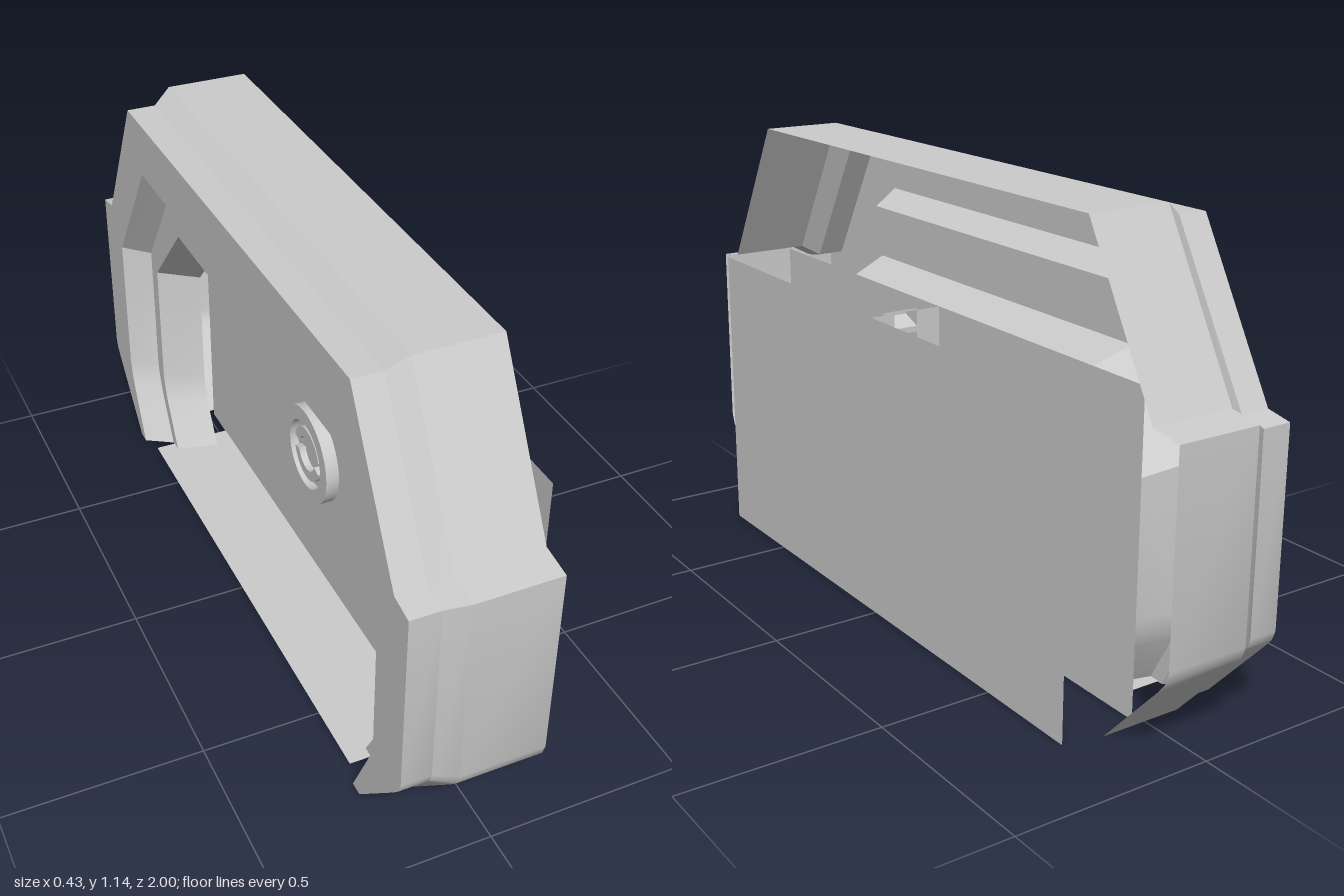
import * as THREE from 'three';
import { toCreasedNormals } from 'three/addons/utils/BufferGeometryUtils.js';

const material = new THREE.MeshStandardMaterial({ color: 0xcccccc, side: THREE.DoubleSide });

function add(parent, name, geometry) {
  const mesh = new THREE.Mesh(geometry, material);
  mesh.name = name;
  parent.add(mesh);
  return mesh;
}

// Sheet through a row of sections, each { x, path: [[z, y], ...] }
function loft(sections) {
  const positions = [], index = [];
  const n = sections[0].path.length;
  for (const { x, path } of sections) for (const [z, y] of path) positions.push(x, y, z);
  for (let s = 0; s < sections.length - 1; s++) {
    for (let i = 0; i < n - 1; i++) {
      const a = s * n + i, b = a + n;
      index.push(a, b, a + 1, a + 1, b, b + 1);
    }
  }
  const geometry = new THREE.BufferGeometry();
  geometry.setAttribute('position', new THREE.Float32BufferAttribute(positions, 3));
  geometry.setIndex(index);
  return toCreasedNormals(geometry, 0.5);
}

// Half outline mirrored into a full arch, open at the floor
const arch = (half) => [...half, ...half.map(([z, y]) => [-z, y]).reverse()];

const OUTER = arch([[0.8, 0], [0.965, 0.18], [0.99, 0.21], [1, 0.24], [1, 0.735], [0.92, 0.748], [0.7, 1.14]]);
const INSET = arch([[0.77, 0], [0.935, 0.18], [0.956, 0.205], [0.965, 0.23], [0.965, 0.708], [0.9, 0.72], [0.68, 1.105]]);
const OPENING = arch([[0.735, 0], [0.805, 0.15], [0.82, 0.185], [0.83, 0.23], [0.83, 0.62], [0.82, 0.634], [0.59, 0.96]]);
const STEP = arch([[0.69, 0], [0.765, 0.14], [0.78, 0.18], [0.79, 0.225], [0.79, 0.605], [0.78, 0.62], [0.57, 0.92]]);
const THROAT = arch([[0.65, 0], [0.72, 0.13], [0.735, 0.17], [0.745, 0.21], [0.745, 0.565], [0.735, 0.576], [0.54, 0.785]]);
const THROAT_END = arch([[0.62, 0], [0.69, 0.12], [0.705, 0.16], [0.71, 0.2], [0.71, 0.54], [0.7, 0.55], [0.52, 0.74]]);

const DOOR = { inner: 0.02, outer: 0.215, halfWidth: 0.78, height: 0.78, lockY: 0.39 };

// Seam line of a door leaf: straight with a half round, side = +1 bulge or -1 hollow
function seamPath(side, toothed) {
  const path = [];
  const teeth = (y0, count) => {
    for (let i = 0; i < count; i++) {
      const y = y0 + i * 0.06;
      path.push([0, y], [0.05, y + 0.02], [0.05, y + 0.03], [0, y + 0.045]);
    }
  };
  path.push([0, 0]);
  if (toothed) teeth(0.01, 3);
  const steps = 24;
  for (let i = 0; i <= steps; i++) {
    const a = (i / steps) * Math.PI;
    path.push([side * 0.15 * Math.sin(a), DOOR.lockY - 0.15 * Math.cos(a)]);
  }
  if (toothed) teeth(0.56, 4);
  path.push([0, DOOR.height]);
  return path;
}

// Flat ring sector, facing the passage (-x) once turned
function ringSector(r0, r1, start, end, depth) {
  const shape = new THREE.Shape();
  shape.absarc(0, 0, r1, start, end, false);
  shape.absarc(0, 0, r0, end, start, true);
  const geometry = new THREE.ExtrudeGeometry(shape, { depth, bevelEnabled: false, curveSegments: 24 });
  return toCreasedNormals(geometry.rotateY(-Math.PI / 2), 0.5);
}

function createFrame() {
  const frame = new THREE.Group();
  frame.name = 'doorFrame';
  add(frame, 'frameShell', loft([
    { x: 0.118, path: OUTER }, { x: -0.095, path: OUTER },
    { x: -0.143, path: INSET }, { x: -0.218, path: INSET },
    { x: -0.218, path: OPENING },
  ]));
  add(frame, 'openingReveal', loft([
    { x: -0.218, path: OPENING }, { x: -0.145, path: STEP },
    { x: -0.145, path: THROAT }, { x: -0.03, path: THROAT_END },
  ]));
  const floor = new THREE.PlaneGeometry(0.22, 1.36).rotateX(-Math.PI / 2);
  add(frame, 'threshold', floor).position.set(-0.09, 0.003, 0);
  return frame;
}

function createDoor() {
  const door = new THREE.Group();
  door.name = 'door';
  for (const [name, x, turn] of [['outerPanel', DOOR.outer, 1], ['innerPanel', DOOR.inner, -1]]) {
    const panel = new THREE.PlaneGeometry(DOOR.halfWidth * 2, DOOR.height).rotateY(turn * Math.PI / 2);
    add(door, name, panel).position.set(x, DOOR.height / 2, 0);
  }
  // Interlocking edges of the two leaves, in three layers
  const layer = (DOOR.outer - DOOR.inner) / 3;
  for (let i = 0; i < 3; i++) {
    const x = DOOR.inner + i * layer;
    const path = i === 1 ? seamPath(-1, true) : seamPath(1, false);
    add(door, 'seamLayer' + (i + 1), loft([{ x, path }, { x: x + layer, path }]));
  }
  // Steps between the layers
  for (const x of [DOOR.inner + layer, DOOR.inner + 2 * layer]) {
    const disc = new THREE.CircleGeometry(0.15, 40).rotateY(Math.PI / 2);
    add(door, 'seamDisc', disc).position.set(x, DOOR.lockY, 0);
  }
  return door;
}

function createLock() {
  const lock = new THREE.Group();
  lock.name = 'lock';
  lock.position.set(DOOR.inner, DOOR.lockY, 0);
  const plate = new THREE.CylinderGeometry(0.134, 0.134, 0.012, 40).rotateZ(Math.PI / 2);
  add(lock, 'lockPlate', plate).position.x = -0.006;
  add(lock, 'lockRim', ringSector(0.095, 0.134, 0, Math.PI * 2 - 1e-4, 0.035));
  // Two curved grips
  for (const turn of [0, Math.PI]) {
    add(lock, 'lockGrip', ringSector(0.048, 0.075, turn + 0.25, turn + Math.PI - 0.25, 0.03));
  }
  return lock;
}

export function createModel() {
  const model = new THREE.Group();
  model.name = 'slidingBlastDoor';
  model.add(createFrame(), createDoor(), createLock());
  return model;
}
